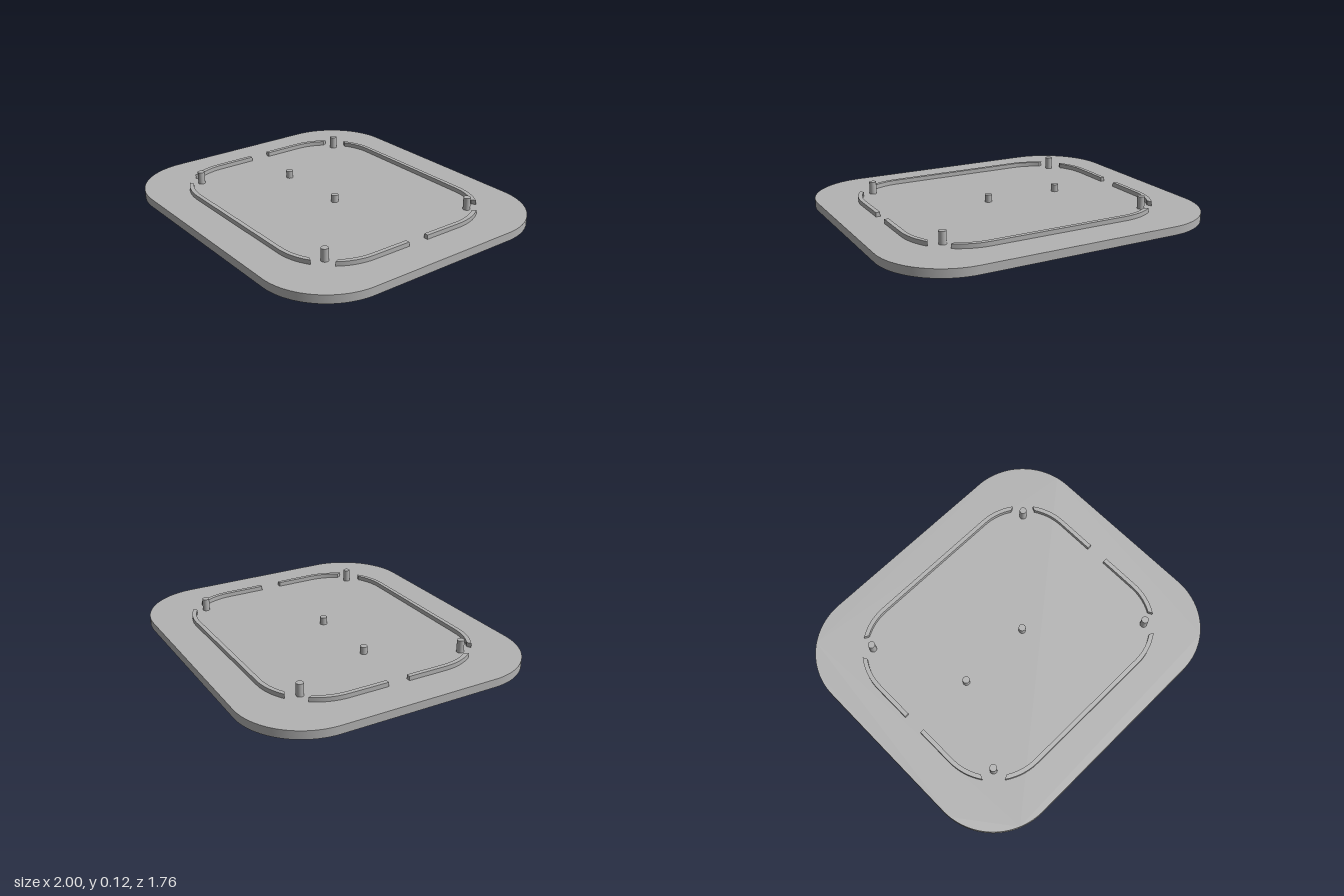
import * as THREE from 'three';
import { toCreasedNormals } from 'three/addons/utils/BufferGeometryUtils.js';

const PLATE_H = 0.05, RIB_TOP = 0.076;
const OUTER = 0.36, INNER = 0.334; // rib corner radii
const CX = 0.426, CZ = 0.307;      // rib corner centres

// Points along a rib corner, angles in degrees
function arc(radius, from, to, steps = 10) {
  return Array.from({ length: steps + 1 }, (_, i) => {
    const a = THREE.MathUtils.degToRad(from + (to - from) * i / steps);
    return new THREE.Vector2(CX + radius * Math.cos(a), CZ + radius * Math.sin(a));
  });
}

// Extrude a plan outline upward from y = bottom to y = top
function slab(shape, bottom, top) {
  const geo = new THREE.ExtrudeGeometry(shape, { depth: top - bottom, bevelEnabled: false, curveSegments: 24 });
  geo.rotateX(-Math.PI / 2).translate(0, bottom, 0);
  return toCreasedNormals(geo, Math.PI / 6);
}

const mirror = (points, sx, sy) => points.map(p => new THREE.Vector2(p.x * sx, p.y * sy));

export function createModel() {
  const model = new THREE.Group();
  const grey = new THREE.MeshStandardMaterial({ color: 0xb3b3b3 });
  grey.name = 'grey';
  const add = (name, geo) => {
    const mesh = new THREE.Mesh(geo, grey);
    mesh.name = name;
    model.add(mesh);
    return mesh;
  };

  // Rounded base plate
  const w = 1, d = 0.88, r = 0.4;
  const plate = new THREE.Shape();
  plate.absarc(w - r, d - r, r, 0, Math.PI / 2);
  plate.absarc(r - w, d - r, r, Math.PI / 2, Math.PI);
  plate.absarc(r - w, r - d, r, Math.PI, Math.PI * 1.5);
  plate.absarc(w - r, r - d, r, Math.PI * 1.5, Math.PI * 2);
  plate.closePath();
  add('basePlate', slab(plate, 0, PLATE_H));

  // Long ribs at front and back, curving at both ends
  const outer = arc(OUTER, 55.5, 90), inner = arc(INNER, 58, 90);
  const longRib = [
    ...outer, ...mirror(outer, -1, 1).reverse(),
    ...mirror(inner, -1, 1), ...inner.slice().reverse(),
  ];
  for (const s of [1, -1]) {
    add(s > 0 ? 'backRib' : 'frontRib', slab(new THREE.Shape(mirror(longRib, 1, s)), PLATE_H, RIB_TOP));
  }

  // Four short side ribs with a gap between each pair
  const sideRib = [
    new THREE.Vector2(CX + OUTER, 0.066), ...arc(OUTER, 0, 35),
    ...arc(INNER, 32.5, 0), new THREE.Vector2(CX + INNER, 0.066),
  ];
  for (const sx of [1, -1]) for (const sy of [1, -1]) {
    const name = (sx > 0 ? 'left' : 'right') + (sy > 0 ? 'Back' : 'Front') + 'SideRib';
    add(name, slab(new THREE.Shape(mirror(sideRib, sx, sy)), PLATE_H, RIB_TOP));
  }

  // Pegs: tall ones in the corners, two short ones in the middle
  const peg = (name, x, z, top) => {
    const h = top - PLATE_H;
    add(name, new THREE.CylinderGeometry(0.0215, 0.0215, h, 32)).position.set(x, PLATE_H + h / 2, z);
  };
  for (const x of [0.637, -0.637]) for (const z of [0.518, -0.518]) peg('cornerPeg', x, z, 0.125);
  for (const x of [-0.382, 0.085]) peg('middlePeg', x, 0.027, 0.095);

  return model;
}
